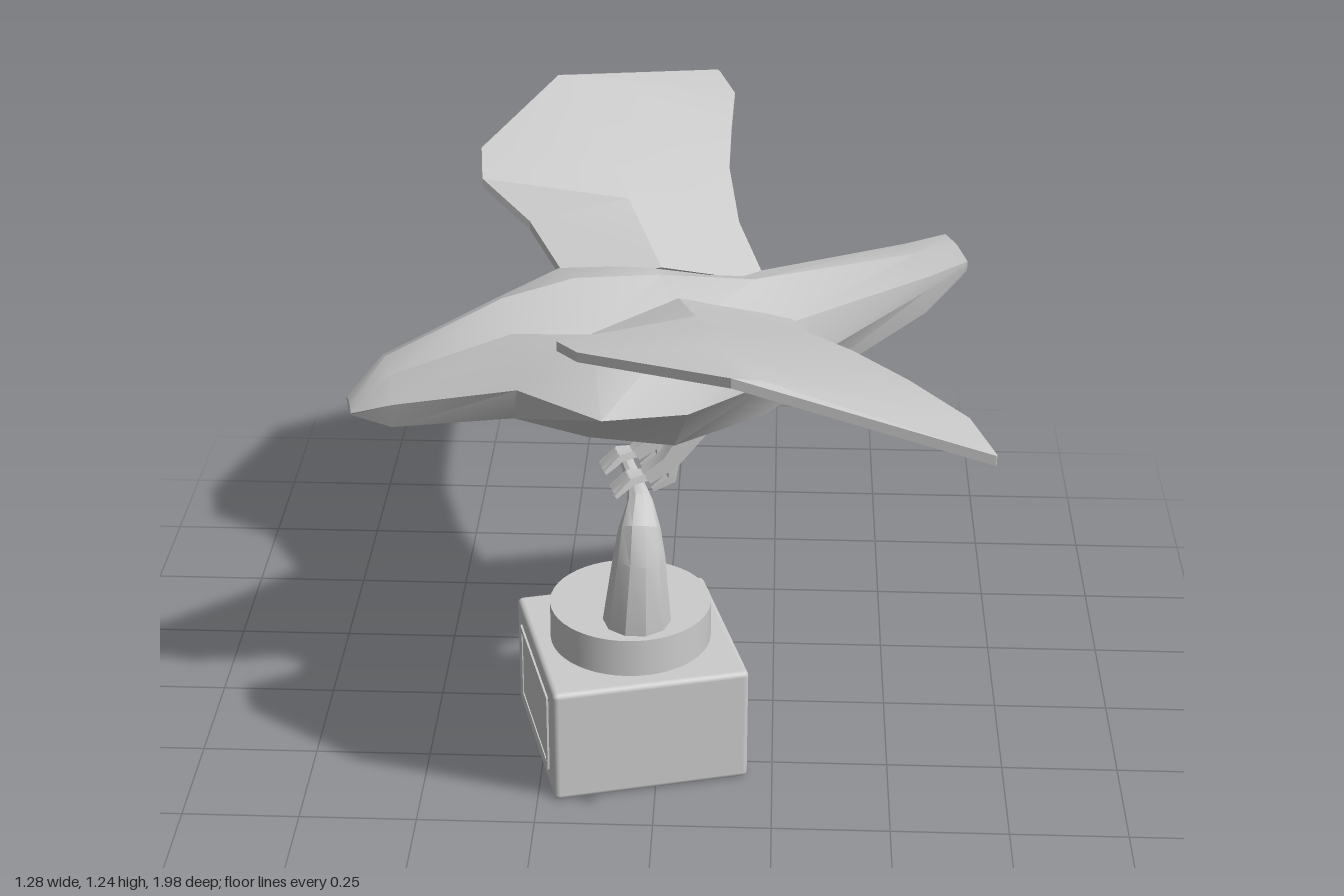
import * as THREE from 'three';
import { toCreasedNormals } from 'three/addons/utils/BufferGeometryUtils.js';
import { RoundedBoxGeometry } from 'three/addons/geometries/RoundedBoxGeometry.js';

const material = new THREE.MeshStandardMaterial({ color: 0xcccccc });
const YAW = 0.265;

function part(name, geometry, parent, x = 0, y = 0, z = 0) {
  const mesh = new THREE.Mesh(geometry, material);
  mesh.name = name;
  mesh.position.set(x, y, z);
  parent.add(mesh);
  return mesh;
}

// Closed skin through equal-sized rings of points, capped at both ends.
function loft(rings, crease = 0.5) {
  const n = rings[0].length, last = (rings.length - 1) * n;
  const p = rings.flat(), index = [];
  for (let r = 0; r < rings.length - 1; r++) {
    for (let i = 0; i < n; i++) {
      const a = r * n + i, b = r * n + (i + 1) % n;
      index.push(a, b, a + n, b, b + n, a + n);
    }
  }
  for (let i = 1; i < n - 1; i++) {
    index.push(0, i + 1, i, last, last + i, last + i + 1);
  }
  // Turn the faces outward if the enclosed volume comes out negative.
  const v = p.map((q) => new THREE.Vector3(...q));
  let volume = 0;
  for (let i = 0; i < index.length; i += 3) {
    volume += v[index[i]].dot(v[index[i + 1]].clone().cross(v[index[i + 2]]));
  }
  if (volume < 0) index.reverse();
  const g = new THREE.BufferGeometry();
  g.setAttribute('position', new THREE.Float32BufferAttribute(p.flat(), 3));
  g.setIndex(index);
  return toCreasedNormals(g, crease);
}

// Tapered limb along [x, y, z, radius] points; axis is normal to its bend.
function limb(path, axis, sides) {
  const pts = path.map((q) => new THREE.Vector3(q[0], q[1], q[2]));
  return loft(pts.map((c, k) => {
    const t = pts[Math.min(k + 1, pts.length - 1)].clone().sub(pts[Math.max(k - 1, 0)]).normalize();
    const u = t.clone().cross(axis).normalize(), w = t.clone().cross(u);
    return Array.from({ length: sides }, (_, i) => {
      const a = (i + 0.5) / sides * Math.PI * 2, r = path[k][3];
      return c.clone().addScaledVector(u, Math.cos(a) * r).addScaledVector(w, Math.sin(a) * r).toArray();
    });
  }), sides > 6 ? 0.6 : 0.4);
}

// Body stations: x, top y, upper half-width and y, side half-width and y, lower half-width and y
const BODY = [
  [-0.655, 0.875, 0.025, 0.87, 0.035, 0.86, 0.02, 0.85],
  [-0.575, 0.965, 0.05, 0.945, 0.075, 0.89, 0.055, 0.83],
  [-0.33, 1.07, 0.09, 1.03, 0.145, 0.93, 0.1, 0.845],
  [-0.18, 1.1, 0.17, 1.05, 0.26, 0.9, 0.12, 0.795],
  [0, 1.09, 0.18, 1.045, 0.25, 0.89, 0.13, 0.76],
  [0.2, 1.06, 0.14, 1.01, 0.16, 0.9, 0.1, 0.795],
  [0.55, 1.085, 0.088, 1.07, 0.088, 1.04, 0.08, 0.985],
  [0.637, 1.098, 0.075, 1.09, 0.075, 1.08, 0.07, 1.065],
];

// Wing stations from root to tip: leading edge, crease, trailing edge
const WING = [
  [[-0.17, 1.04, 0.12], [0.02, 1.07, 0.08], [0.25, 1.01, 0.09]],
  [[-0.211, 1.09, 0.338], [0, 1.135, 0.31], [0.241, 1.065, 0.294]],
  [[-0.298, 1.163, 0.423], [-0.01, 1.175, 0.46], [0.267, 1.115, 0.488]],
  [[-0.28, 1.19, 0.536], [-0.03, 1.205, 0.6], [0.32, 1.137, 0.68]],
  [[-0.055, 1.243, 0.812], [0, 1.236, 0.82], [0.375, 1.145, 0.87]],
  [[0.372, 1.148, 1.027], [0.374, 1.147, 1.024], [0.376, 1.146, 1.02]],
];

function wing(side) {
  return loft(WING.map(([a, b, c]) => {
    const at = ([x, y, z], drop) => [x, y - drop, z * side];
    return [at(a, 0), at(b, 0), at(c, 0), at(c, 0.012), at(b, 0.02), at(a, 0.02)];
  }), 0.35);
}

export function createModel() {
  const model = new THREE.Group();
  model.name = 'birdStatue';

  // Pedestal
  const pedestal = new THREE.Group();
  pedestal.name = 'pedestal';
  pedestal.position.set(-0.0625, 0, 0.16);
  pedestal.rotation.y = YAW;
  model.add(pedestal);
  part('base', new RoundedBoxGeometry(0.425, 0.265, 0.425, 2, 0.012), pedestal, 0, 0.1325, 0);
  part('disc', new THREE.CylinderGeometry(0.174, 0.174, 0.09, 48), pedestal, 0, 0.306, 0);

  // Framed plate on one side of the base
  const frame = new THREE.Shape([[-0.155, -0.09], [0.155, -0.09], [0.155, 0.09], [-0.155, 0.09]]
    .map((q) => new THREE.Vector2(...q)));
  frame.holes.push(new THREE.Path([[-0.14, -0.078], [-0.14, 0.078], [0.14, 0.078], [0.14, -0.078]]
    .map((q) => new THREE.Vector2(...q))));
  const rim = new THREE.ExtrudeGeometry(frame, { depth: 0.006, bevelEnabled: false });
  part('plateFrame', rim, pedestal, -0.211, 0.135, 0).rotation.y = -Math.PI / 2;
  part('plate', new THREE.BoxGeometry(0.004, 0.156, 0.28), pedestal, -0.2125, 0.135, 0);

  // Bent perch
  part('perch', limb([
    [-0.045, 0.33, 0.24, 0.075], [-0.037, 0.53, 0.275, 0.054], [-0.037, 0.585, 0.262, 0.044],
    [-0.038, 0.62, 0.215, 0.028], [-0.05, 0.63, 0.15, 0.018], [-0.085, 0.632, 0.015, 0.014],
  ], new THREE.Vector3(1, 0, 0), 10), model);

  // Bird, turned with the pedestal
  const bird = new THREE.Group();
  bird.name = 'bird';
  bird.position.z = 0.099;
  bird.rotation.y = YAW;
  model.add(bird);
  part('body', loft(BODY.map(([x, top, wu, yu, ws, ys, wl, yl]) => [
    [x, top, 0], [x, yu, wu], [x, ys, ws], [x, yl, wl],
    [x, yl, -wl], [x, ys, -ws], [x, yu, -wu],
  ])), bird);

  const zAxis = new THREE.Vector3(0, 0, 1);
  for (const side of [1, -1]) {
    const label = side > 0 ? 'left' : 'right';
    part(label + 'Wing', wing(side), bird);

    // Leg and gripping toes
    const z = side * 0.055;
    part(label + 'Leg', limb([
      [0.09, 0.81, z, 0.042], [0.005, 0.69, z, 0.026], [-0.045, 0.655, z, 0.02],
    ], zAxis, 4), bird);
    for (const spread of [-1, 0, 1]) {
      part(label + 'Toe', limb([
        [-0.03, 0.66, z, 0.013], [-0.08, 0.655, z + spread * 0.014, 0.012],
        [-0.115, 0.625, z + spread * 0.022, 0.006],
      ], zAxis, 4), bird);
    }
    part(label + 'BackToe', limb([
      [0.015, 0.69, z, 0.016], [0.01, 0.645, z, 0.014], [-0.03, 0.622, z, 0.006],
    ], zAxis, 4), bird);
  }
  return model;
}
